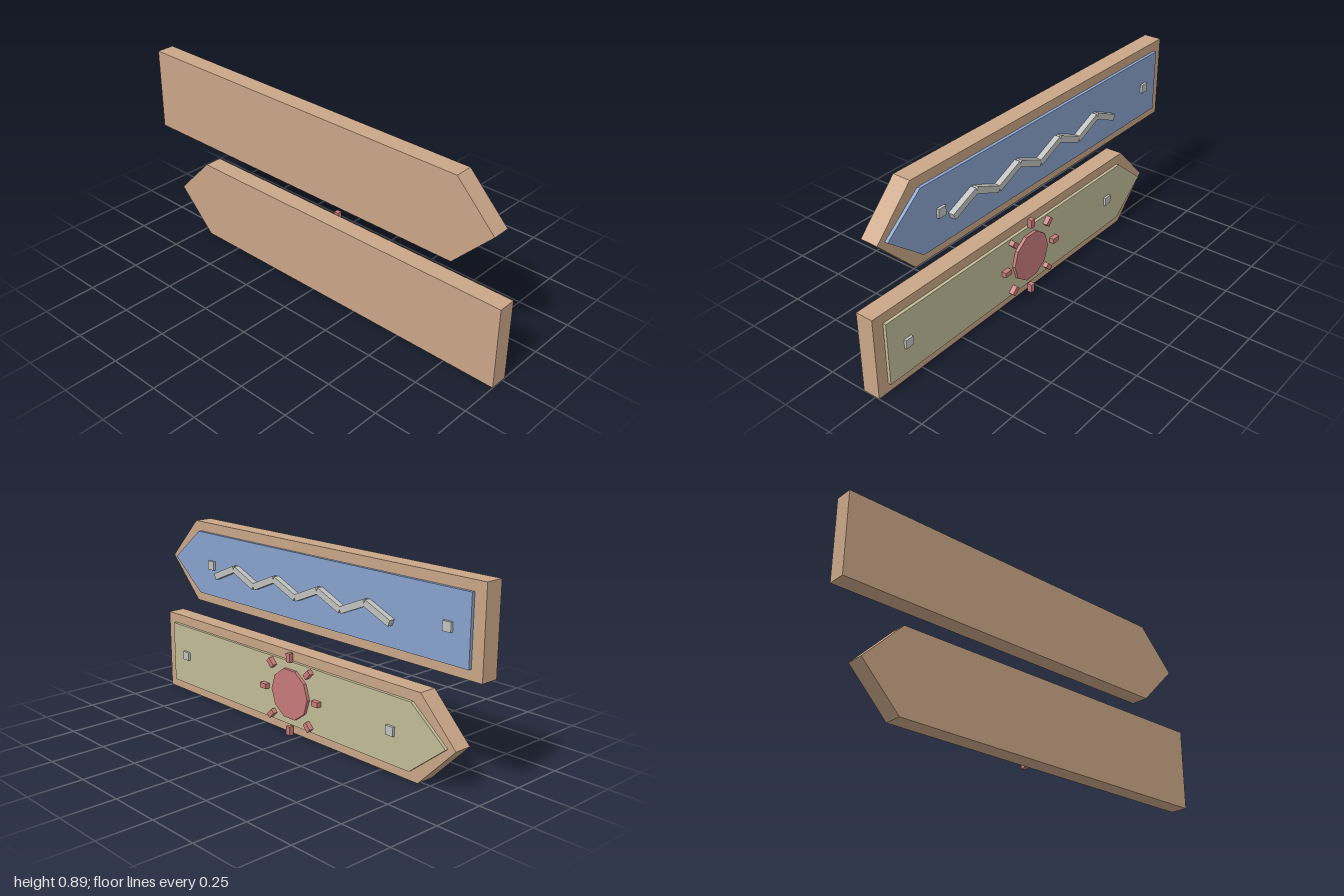
import * as THREE from 'three';

const mat = (name, color) => Object.assign(new THREE.MeshStandardMaterial({ color }), { name });

export function createModel() {
  const wood = mat('wood', 0xcaa687);
  const blue = mat('blue paint', 0x88a2cd);
  const olive = mat('olive paint', 0xc2bc98);
  const red = mat('red paint', 0xc87a7a);
  const grey = mat('grey metal', 0xc2c2c0);

  const model = new THREE.Group();
  model.name = 'arrowSigns';

  const add = (parent, name, geometry, material, x = 0, y = 0, z = 0, turn = 0) => {
    const mesh = new THREE.Mesh(geometry, material);
    mesh.name = name;
    mesh.position.set(x, y, z);
    mesh.rotation.z = turn;
    parent.add(mesh);
    return mesh;
  };

  // Arrow-shaped board: flat end, shoulder and tip along x, extruded from z0 to z1
  const arrow = (flat, shoulder, tip, half, z0, z1) => {
    const shape = new THREE.Shape([
      [flat, -half], [shoulder, -half], [tip, 0], [shoulder, half], [flat, half],
    ].map(([x, y]) => new THREE.Vector2(x, y)));
    return new THREE.ExtrudeGeometry(shape, { depth: z1 - z0, bevelEnabled: false }).translate(0, 0, z0);
  };

  // Plank, painted back panel and two square nails
  const sign = (name, y, plank, panel, paint, nails) => {
    const group = new THREE.Group();
    group.name = name;
    group.position.y = y;
    add(group, 'plank', arrow(...plank, 0.195, -0.02, 0.065), wood);
    add(group, 'paintedPanel', arrow(...panel, 0.15, -0.035, -0.02), paint);
    for (const x of nails) add(group, 'nail', new THREE.BoxGeometry(0.042, 0.042, 0.012), grey, x, 0, -0.041);
    model.add(group);
    return group;
  };

  const upper = sign('upperSign', 0.695, [-1, 0.75, 0.94], [-0.945, 0.713, 0.9], blue, [-0.84, 0.61]);
  const lower = sign('lowerSign', 0.195, [1, -0.7, -0.89], [0.945, -0.663, -0.85], olive, [0.835, -0.56]);

  // Zigzag wave made of tilted bars
  for (let i = 0; i < 8; i++) {
    add(upper, 'waveBar', new THREE.BoxGeometry(0.15, 0.03, 0.027), grey,
      -0.49 + 0.14 * i, -0.014, -0.0485, i % 2 ? -0.4 : 0.4);
  }

  // Ten-sided sun disc with eight rays
  const sun = new THREE.Group();
  sun.name = 'sun';
  sun.position.x = 0.05;
  lower.add(sun);
  const disc = new THREE.CylinderGeometry(0.12, 0.12, 0.015, 10, 1, false, Math.PI / 2).rotateX(Math.PI / 2);
  add(sun, 'sunDisc', disc.toNonIndexed(), red, 0, 0, -0.0425);
  for (let i = 0; i < 8; i++) {
    const a = i * Math.PI / 4;
    add(sun, 'sunRay', new THREE.BoxGeometry(0.041, 0.024, 0.023), red,
      0.173 * Math.cos(a), 0.173 * Math.sin(a), -0.0465, a);
  }
  red.flatShading = true;
  return model;
}
